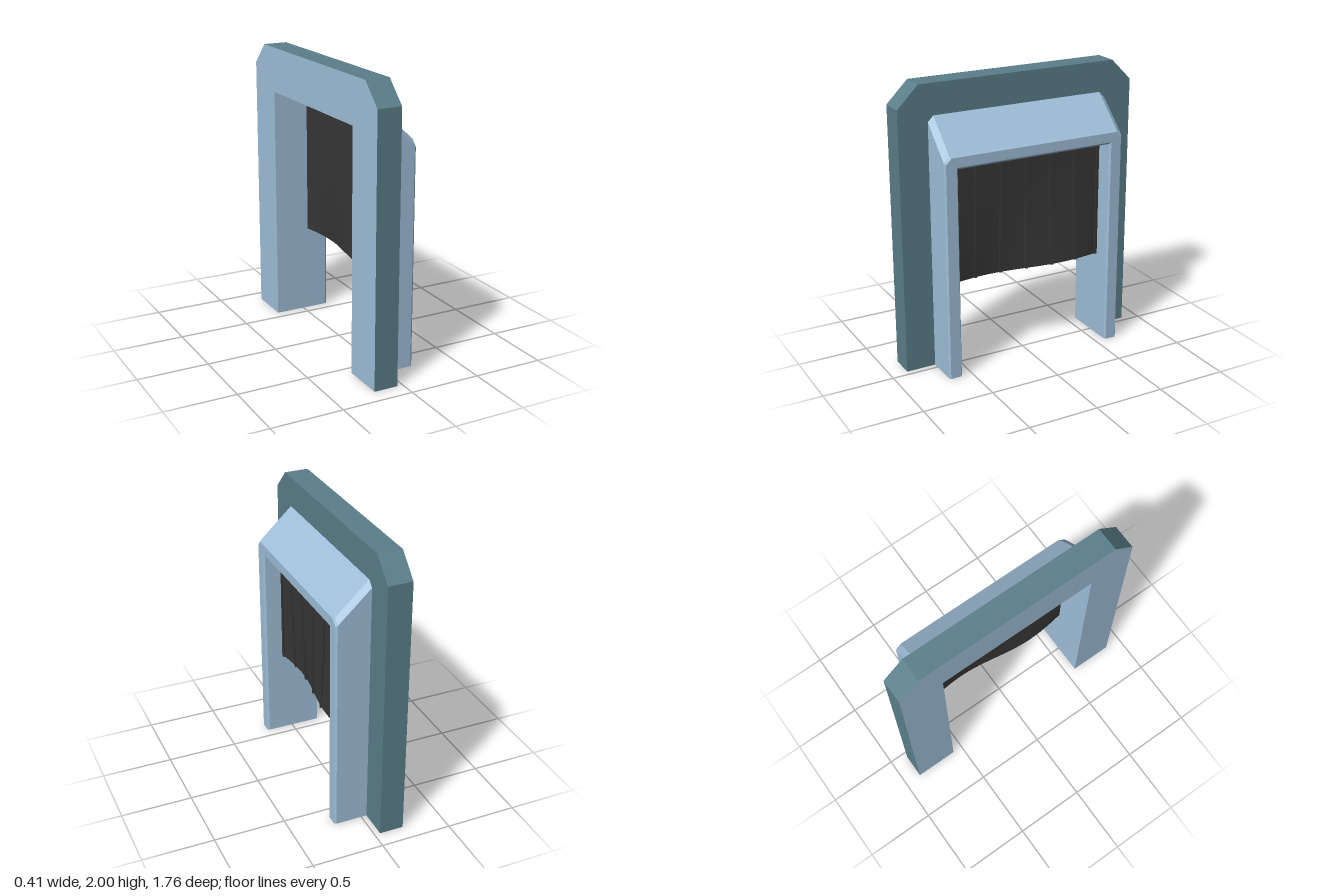
import * as THREE from 'three';

// Colours
const teal = new THREE.MeshStandardMaterial({ color: 0x5b7f8a });
teal.name = 'teal frame';
const blue = new THREE.MeshStandardMaterial({ color: 0x9fbfd9 });
blue.name = 'pale blue lining';
const black = new THREE.MeshStandardMaterial({ color: 0x373737 });
black.name = 'black rubber';

// Arch outline at one depth x: half width, top height and corner chamfer
function arch(x, half, top, chamfer) {
  const side = [[half, 0], [half, top - chamfer], [half - chamfer, top]];
  const other = side.map(([z, y]) => [-z, y]).reverse();
  return [...side, ...other].map(([z, y]) => [x, y, z]);
}

// Skin joining a run of arches, with hard edges
function loft(name, arches, material) {
  const pos = [];
  for (let s = 0; s < arches.length - 1; s++) {
    const a = arches[s], b = arches[s + 1];
    for (let i = 0; i < a.length - 1; i++) {
      pos.push(...a[i], ...b[i], ...a[i + 1], ...b[i], ...b[i + 1], ...a[i + 1]);
    }
  }
  const geometry = new THREE.BufferGeometry();
  geometry.setAttribute('position', new THREE.Float32BufferAttribute(pos, 3));
  geometry.computeVertexNormals();
  const mesh = new THREE.Mesh(geometry, material);
  mesh.name = name;
  return mesh;
}

// Curtain shape: hangs straight at the top and sways towards the hem
const HEM = 0.63, CURTAIN_TOP = 1.58;
function sway(z, y) {
  const t = THREE.MathUtils.clamp((1.4 - y) / (1.4 - HEM), 0, 1);
  return 0.03 * Math.sin((z + 0.57) * 5.5) * t * t;
}

function hanging(name, depth, width, x, z) {
  const h = CURTAIN_TOP - HEM;
  const geometry = new THREE.BoxGeometry(depth, h, width, 1, 10, Math.max(1, Math.round(width / 0.05)));
  geometry.translate(x, HEM + h / 2, z);
  const p = geometry.attributes.position;
  for (let i = 0; i < p.count; i++) {
    p.setX(i, p.getX(i) + sway(p.getZ(i), p.getY(i)));
  }
  geometry.computeVertexNormals();
  const mesh = new THREE.Mesh(geometry, black);
  mesh.name = name;
  return mesh;
}

export function createModel() {
  const model = new THREE.Group();
  model.name = 'dockDoorShelter';

  const backOuter = arch(-0.21, 0.88, 2, 0.15);
  const hoodRoot = arch(-0.04, 0.67, 1.785, 0.04);
  const backInner = arch(-0.21, 0.573, 1.685, 0);

  // Outer frame: rim and face around the hood
  model.add(loft('frame', [backOuter, arch(-0.04, 0.88, 2, 0.15), hoodRoot], teal));

  // Hood: sloping outside, front lip, and the lining through to the back
  model.add(loft('hood', [
    hoodRoot,
    arch(0.187, 0.67, 1.572, 0.04),
    arch(0.2, 0.66, 1.56, 0.04),
    arch(0.2, 0.583, 1.492, 0),
  ], blue));
  model.add(loft('lining', [
    arch(0.2, 0.583, 1.492, 0),
    arch(0.185, 0.573, 1.477, 0),
    arch(-0.04, 0.573, 1.685, 0),
    backInner,
  ], blue));
  model.add(loft('backPlate', [backInner, backOuter], blue));

  // Undersides of the two legs
  for (const s of [1, -1]) {
    const outline = [[-0.21, 0.573], [0.185, 0.573], [0.2, 0.583], [0.2, 0.66],
      [0.187, 0.67], [-0.04, 0.67], [-0.04, 0.88], [-0.21, 0.88]];
    const shape = new THREE.Shape(outline.map(([x, z]) => new THREE.Vector2(x, z * s)));
    const foot = new THREE.Mesh(new THREE.ShapeGeometry(shape).rotateX(Math.PI / 2), teal);
    foot.name = s > 0 ? 'leftFoot' : 'rightFoot';
    model.add(foot);
  }

  // Strip curtain with raised overlaps between the strips
  const curtain = new THREE.Group();
  curtain.name = 'curtain';
  curtain.add(hanging('curtainSheet', 0.02, 1.14, 0.05, 0));
  for (let i = 0; i < 7; i++) {
    const z = THREE.MathUtils.clamp(0.575 - i * 0.19, -0.56, 0.56);
    curtain.add(hanging('curtainOverlap', 0.014, 0.018, 0.065, z));
  }
  model.add(curtain);

  return model;
}
